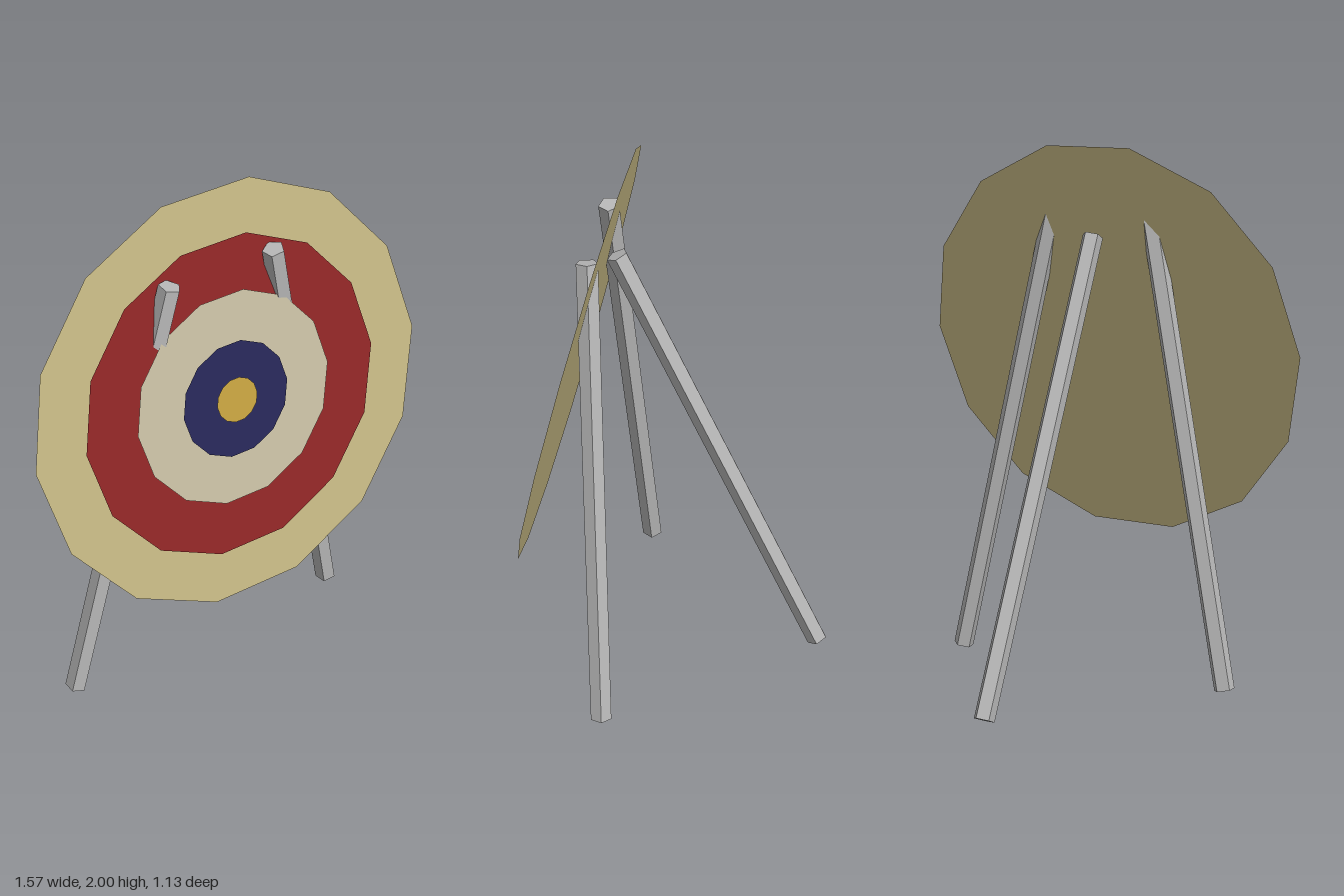
import * as THREE from 'three';

const paint = (name, color, extra = {}) => {
  const m = new THREE.MeshStandardMaterial({ color, ...extra });
  m.name = name;
  return m;
};

export function createModel() {
  const group = new THREE.Group();
  group.name = 'archeryTarget';

  const straw = paint('straw', 0xc2b581, { side: THREE.DoubleSide });
  const red = paint('red', 0x8e2525);
  const cream = paint('cream', 0xc4bca0);
  const navy = paint('navy', 0x272757);
  const gold = paint('gold', 0xc29f3f);
  const grey = paint('grey', 0xb8b8b8, { flatShading: true });

  // Target face: thin 14-sided discs stacked along the tilted normal
  const face = new THREE.Group();
  face.name = 'targetFace';
  face.position.set(0, 1.26, 0.379);
  face.rotation.x = -0.243;
  [
    ['backing', 0.784, straw],
    ['outerRing', 0.593, red],
    ['middleRing', 0.395, cream],
    ['innerRing', 0.215, navy],
    ['bullseye', 0.083, gold],
  ].forEach(([name, radius, material], i) => {
    const disc = new THREE.Mesh(new THREE.CircleGeometry(radius, 14), material);
    disc.name = name;
    disc.position.z = i * 0.008;
    face.add(disc);
  });
  group.add(face);

  // Tripod: five-sided poles running between two points
  const addLeg = (name, foot, top, turn) => {
    const a = new THREE.Vector3(...foot);
    const b = new THREE.Vector3(...top);
    const dir = b.clone().sub(a);
    const geometry = new THREE.CylinderGeometry(0.04, 0.04, dir.length(), 5, 1, false,
      THREE.MathUtils.degToRad(turn));
    const leg = new THREE.Mesh(geometry, grey);
    leg.name = name;
    leg.position.copy(a).add(b).multiplyScalar(0.5);
    leg.quaternion.setFromUnitVectors(new THREE.Vector3(0, 1, 0), dir.normalize());
    group.add(leg);
  };
  addLeg('rightFrontLeg', [-0.577, 0.02, 0.22], [-0.207, 1.758, 0.3], 22);
  addLeg('leftFrontLeg', [0.577, 0.02, 0.22], [0.21, 1.758, 0.3], 30);
  addLeg('backLeg', [0, 0.02, -0.527], [0, 1.674, 0.235], 22);

  return group;
}
